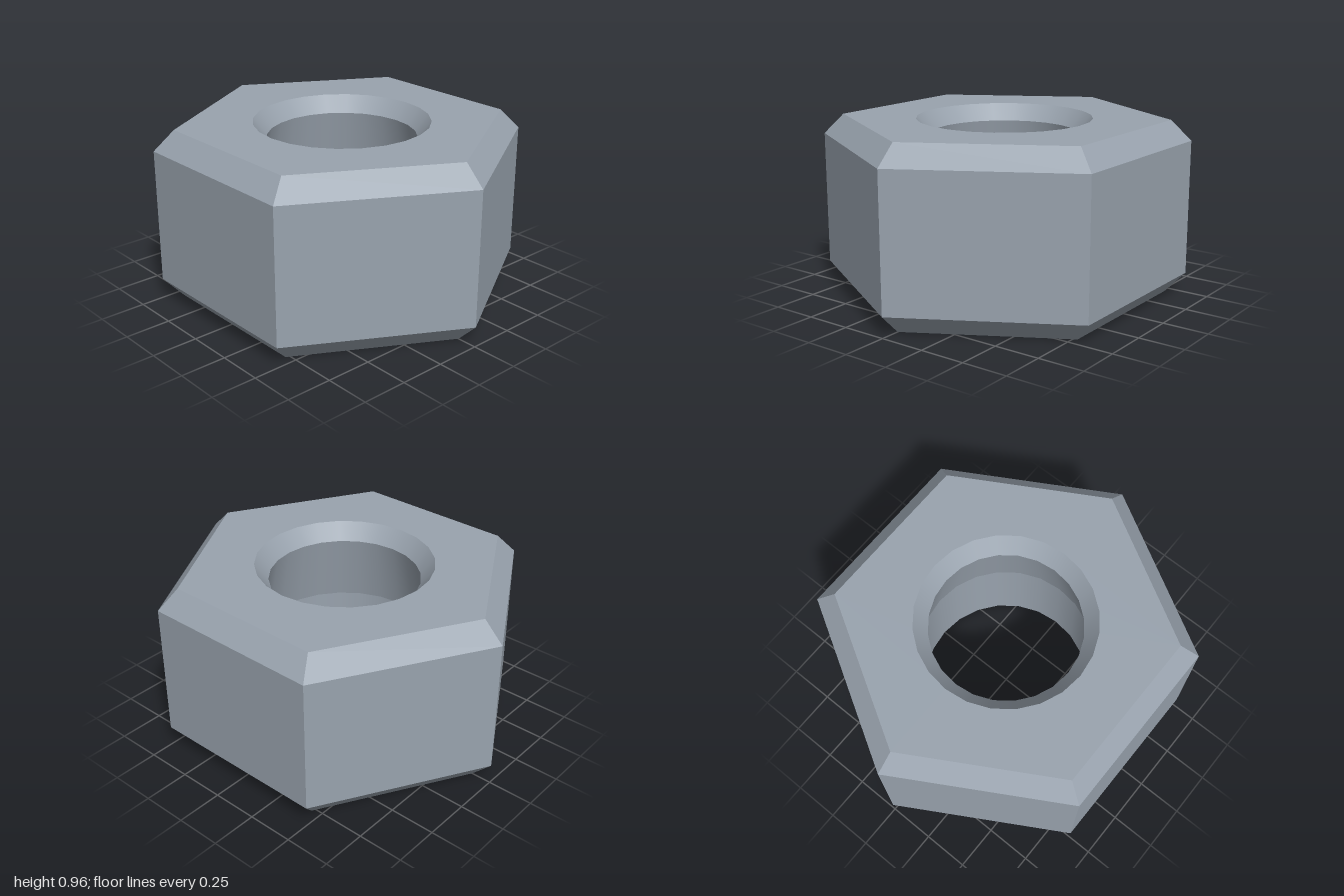
import * as THREE from 'three';

const H = 0.957;        // height
const BEVEL = 0.11;     // outer bevel
const RIM = 0.477;      // hole radius at both faces
const BORE = 0.405;     // narrowest hole radius
const HOLE_SIDES = 24;

const profile = (pairs) => pairs.map(([r, y]) => new THREE.Vector2(r, y));

// Corners of a regular polygon with one corner on the +y axis
function polygon(radius, sides) {
  return Array.from({ length: sides }, (_, i) => {
    const a = (i / sides) * Math.PI * 2;
    return new THREE.Vector2(radius * Math.sin(a), radius * Math.cos(a));
  });
}

export function createModel() {
  const group = new THREE.Group();
  group.name = 'hexNut';
  const flat = new THREE.MeshStandardMaterial({ color: 0x99a3ae, flatShading: true });
  const smooth = new THREE.MeshStandardMaterial({ color: 0x99a3ae });

  const add = (name, geometry, material) => {
    const mesh = new THREE.Mesh(geometry, material);
    mesh.name = name;
    group.add(mesh);
    return mesh;
  };

  // Six side faces with bevels above and below
  add('hexSides', new THREE.LatheGeometry(profile([
    [1 - BEVEL, 0], [1, BEVEL], [1, H - BEVEL], [1 - BEVEL, H],
  ]), 6), flat);

  // Hole wall bands, each run downwards so that it faces the axis,
  // and kept separate so that the edges between them stay sharp
  const rings = profile([[RIM, H], [BORE, H - 0.09], [RIM, 0.49], [RIM, 0]]);
  ['countersink', 'taperedBore', 'straightBore'].forEach((name, i) => {
    add(name, new THREE.LatheGeometry(rings.slice(i, i + 2), HOLE_SIDES), smooth);
  });

  // Flat hexagonal faces with the round opening
  const face = new THREE.Shape(polygon(1 - BEVEL, 6));
  face.holes.push(new THREE.Path(polygon(RIM, HOLE_SIDES)));
  for (const [name, y, tilt] of [['topFace', H, -1], ['bottomFace', 0, 1]]) {
    const mesh = add(name, new THREE.ShapeGeometry(face), flat);
    mesh.rotation.x = tilt * Math.PI / 2;
    mesh.position.y = y;
  }

  return group;
}
